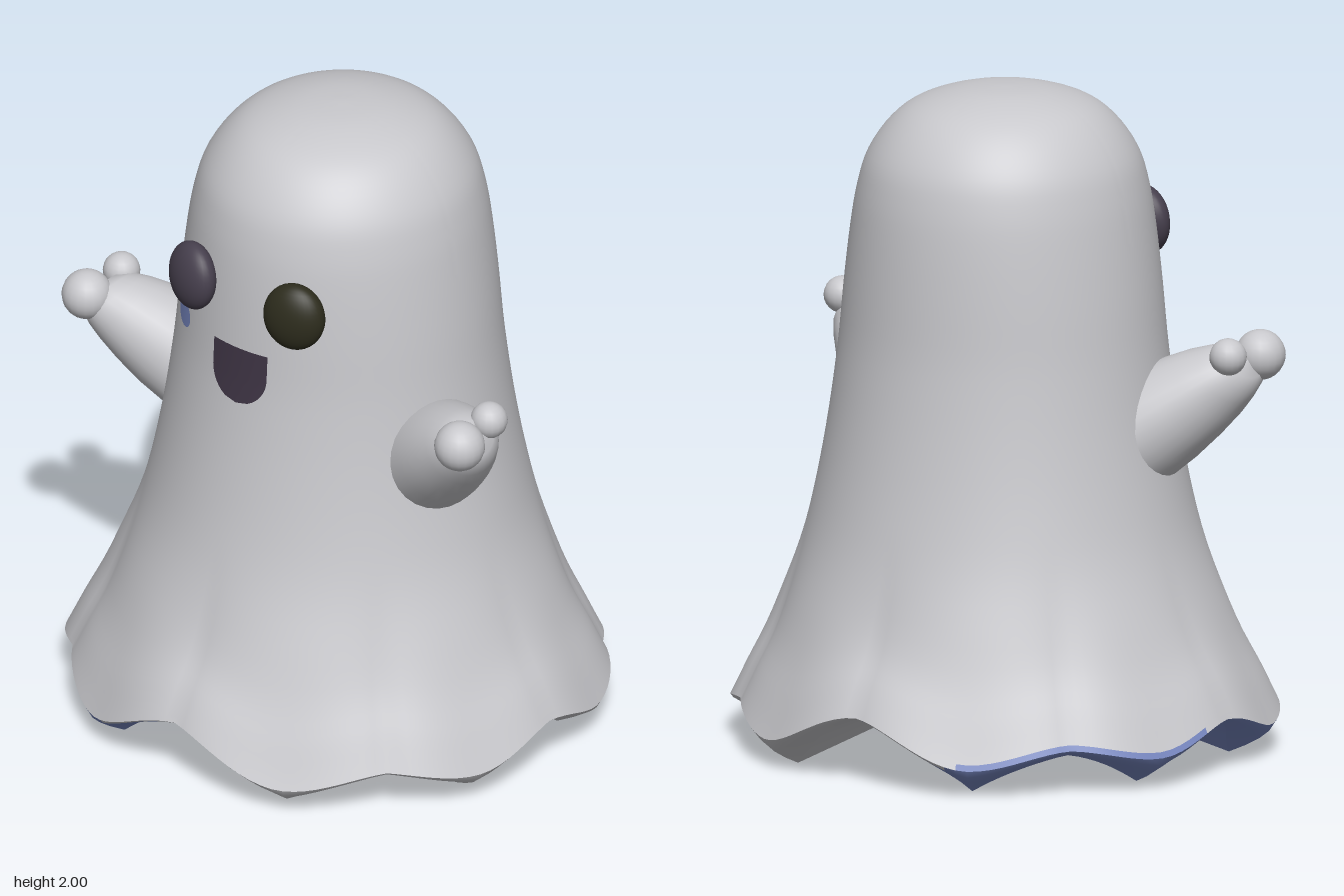
import * as THREE from 'three';
import { toCreasedNormals } from 'three/addons/utils/BufferGeometryUtils.js';

const SEG = 144;
const { lerp, smoothstep } = THREE.MathUtils;

// Silhouette of the sheet: radius, height
const PROFILE = new THREE.SplineCurve([
  [0, 2], [0.13, 1.99], [0.255, 1.952], [0.335, 1.892], [0.398, 1.8], [0.43, 1.7],
  [0.452, 1.58], [0.476, 1.4], [0.497, 1.2], [0.524, 1.0], [0.56, 0.8],
  [0.608, 0.6], [0.683, 0.38], [0.752, 0.24], [0.8, 0.14],
].map(([r, y]) => new THREE.Vector2(r, y))).getPoints(56);

// Hem values at key angles of one quadrant: valleys and points alternate
const HEM = [
  { a: 0, lipR: 0.812, lipY: 0.17, edgeR: 0.765, edgeY: 0.16 },
  { a: 20, lipR: 0.828, lipY: 0.1, edgeR: 0.69, edgeY: 0.005 },
  { a: 40, lipR: 0.788, lipY: 0.14, edgeR: 0.75, edgeY: 0.12 },
  { a: 62.5, lipR: 0.803, lipY: 0.085, edgeR: 0.69, edgeY: 0 },
  { a: 90, lipR: 0.765, lipY: 0.208, edgeR: 0.74, edgeY: 0.2 },
];

function hemAt(theta) {
  const a = THREE.MathUtils.radToDeg(Math.atan2(Math.abs(Math.sin(theta)), Math.abs(Math.cos(theta))));
  let i = 0;
  while (i < 3 && a > HEM[i + 1].a) i++;
  const valley = i % 2 === 0 ? HEM[i] : HEM[i + 1];
  const point = i % 2 === 0 ? HEM[i + 1] : HEM[i];
  const t = THREE.MathUtils.clamp((a - valley.a) / (point.a - valley.a), 0, 1);
  const mix = (key, k) => lerp(valley[key], point[key], k);
  const smooth = t * t * (3 - 2 * t);
  return {
    lipR: mix('lipR', 1 - (1 - t) ** 2.5), lipY: mix('lipY', smooth),
    edgeR: mix('edgeR', smooth), edgeY: mix('edgeY', t ** 1.35),
  };
}

// Depth of the cross-section: deeper at the head, shallower at the waist, round at the hem
function bodyZ(y, z) {
  const waist = smoothstep(y, 0.2, 0.8);
  const scale = 1 - 0.025 * waist + 0.06 * smoothstep(y, 1.2, 1.85);
  return z * scale - 0.01 * waist;
}

// Surface from closed rings; faces accepted by isSecond go to the second material
function loft(rows, segments, pointAt, flip = false, isSecond = () => false) {
  const pos = [], lists = [[], []];
  for (let i = 0; i < rows; i++) {
    for (let j = 0; j < segments; j++) pos.push(...pointAt(i, (j / segments) * Math.PI * 2));
  }
  for (let i = 0; i < rows - 1; i++) {
    for (let j = 0; j < segments; j++) {
      const a = i * segments + j, b = i * segments + (j + 1) % segments;
      const c = a + segments, d = b + segments;
      const second = isSecond(i, (pos[3 * a] + pos[3 * b]) / 2, (pos[3 * a + 2] + pos[3 * b + 2]) / 2);
      lists[second ? 1 : 0].push(...(flip ? [a, c, b, b, c, d] : [a, b, c, b, d, c]));
    }
  }
  const g = new THREE.BufferGeometry();
  g.setAttribute('position', new THREE.Float32BufferAttribute(pos, 3));
  g.setIndex([...lists[0], ...lists[1]]);
  g.addGroup(0, lists[0].length, 0);
  if (lists[1].length) g.addGroup(lists[0].length, lists[1].length, 1);
  g.computeVertexNormals();
  return g;
}

function bodyRadius(y) {
  let i = 1;
  while (i < PROFILE.length - 1 && PROFILE[i].y > y) i++;
  const p = PROFILE[i - 1], q = PROFILE[i];
  return THREE.MathUtils.mapLinear(y, p.y, q.y, p.x, q.x);
}

// Thin face detail that follows the front of the body
function facePatch(cx, top, bottom, halfWidth) {
  const g = new THREE.PlaneGeometry(2, 1, 12, 20);
  const p = g.attributes.position;
  for (let i = 0; i < p.count; i++) {
    const t = 0.5 - p.getY(i);
    const y = lerp(top, bottom, t);
    const x = cx + p.getX(i) * halfWidth(t);
    p.setXYZ(i, x, y, bodyZ(y, Math.sqrt(bodyRadius(y) ** 2 - x * x)) + 0.003);
  }
  g.computeVertexNormals();
  return g;
}

export function createModel() {
  const model = new THREE.Group();
  model.name = 'ghost';
  const mat = (name, color) => new THREE.MeshStandardMaterial({ name, color });
  const sheet = mat('sheet grey', 0xc8c8cc);
  const blue = mat('soft blue', 0x7686bf);
  const eyeRight = mat('dark purple', 0x463f4d);
  const eyeLeft = mat('dark olive', 0x2d2c1d);
  const mouthMat = mat('mouth purple', 0x3f3545);
  const add = (name, geometry, material, parent = model) => {
    const m = new THREE.Mesh(geometry, material);
    m.name = name;
    parent.add(m);
    return m;
  };

  // Sheet with folds that deepen towards the hem, then a lip curling under
  const n = PROFILE.length;
  const bodyPoint = (i, th) => {
    const h = hemAt(th);
    let r, y;
    if (i < n) {
      const p = PROFILE[i];
      r = p.x + (1 - smoothstep(p.y, 0.14, 0.75)) * (h.lipR - 0.8);
      y = p.y + (1 - smoothstep(p.y, 0.14, 0.5)) * (h.lipY - 0.14);
    } else {
      const k = (i - n + 1) / 4;
      r = lerp(h.lipR, h.edgeR, k ** 1.7);
      y = lerp(h.lipY, h.edgeY, k);
    }
    return [r * Math.cos(th), y, bodyZ(y, r * Math.sin(th))];
  };
  // Blue lining shows on the lip of one side, and slightly above it at the back
  const isLining = (i, x, z) => (i >= n && x < 0) || (i === n - 1 && x < -0.3) || (i === n - 2 && x < -0.35 && z < -0.1);
  add('body', toCreasedNormals(loft(n + 4, SEG, bodyPoint, false, isLining), 0.6), [sheet, blue]);

  // Underside fanning up to the centre, one half blue
  const under = loft(5, SEG, (i, th) => {
    const h = hemAt(th), k = i / 4;
    const r = h.edgeR * (1 - k), y = lerp(h.edgeY, 0.22, k);
    return [r * Math.cos(th), y, bodyZ(y, r * Math.sin(th))];
  }, false, (i, x) => x < 0);
  add('underside', toCreasedNormals(under, 0.35), [sheet, blue]);

  // Eyes
  for (const s of [-1, 1]) {
    const eye = add(s > 0 ? 'leftEye' : 'rightEye', new THREE.SphereGeometry(1, 32, 20), s > 0 ? eyeLeft : eyeRight);
    eye.scale.set(0.097, 0.106, 0.056);
    eye.position.set(s * 0.195, 1.53, 0.443);
    eye.rotation.set(-0.08, s * 0.3, 0);
  }

  // Open mouth: flat top, round bottom; one cheek spot
  add('mouth', facePatch(0, 1.36, 1.18, (t) => (t < 0.45 ? 0.102 : 0.102 * Math.sqrt(Math.max(0, 1 - ((t - 0.45) / 0.55) ** 2)))), mouthMat);
  add('cheek', facePatch(-0.277, 1.385, 1.303, (t) => 0.043 * Math.sqrt(Math.max(0, 1 - (2 * t - 1) ** 2))), blue);

  // Raised arms: tapered oval tubes, each ending in a thumb and a fist
  const rings = [[0, 0.17, 0.195], [0.25, 0.16, 0.185], [0.5, 0.142, 0.165], [0.7, 0.122, 0.145],
    [0.85, 0.1, 0.128], [0.95, 0.082, 0.108], [1.02, 0.055, 0.078], [1.05, 0, 0]];
  for (const s of [-1, 1]) {
    const arm = new THREE.Group();
    arm.name = s > 0 ? 'leftArm' : 'rightArm';
    model.add(arm);
    add('sleeve', loft(rings.length, 28, (i, th) => {
      const [t, ru, rv] = rings[i];
      const u = ru * Math.cos(th);
      return [s * (0.42 + 0.29 * t - 0.6 * u), 0.98 + 0.22 * t + 0.8 * u, 0.075 + 0.155 * t + rv * Math.sin(th)];
    }, s < 0), sheet, arm);
    add('fist', new THREE.SphereGeometry(0.076, 20, 14), sheet, arm).position.set(s * 0.715, 1.213, 0.303);
    add('thumb', new THREE.SphereGeometry(0.056, 18, 12), sheet, arm).position.set(s * 0.705, 1.232, 0.153);
  }
  return model;
}
